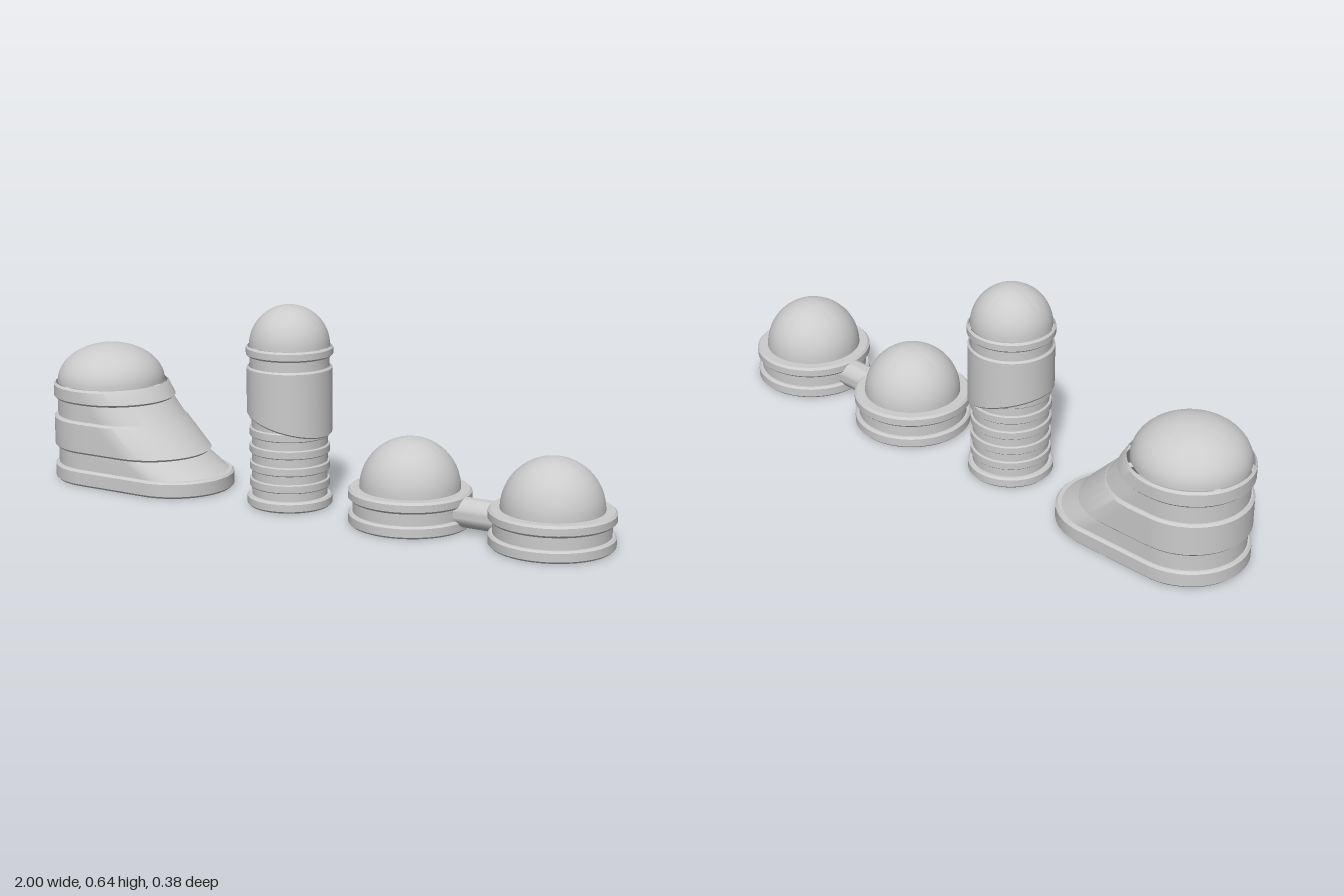
import * as THREE from 'three';
import { toCreasedNormals } from 'three/addons/utils/BufferGeometryUtils.js';

const material = new THREE.MeshStandardMaterial({ color: 0xcccccc, side: THREE.DoubleSide });

function addMesh(parent, name, geometry) {
  const mesh = new THREE.Mesh(toCreasedNormals(geometry, 0.5), material);
  mesh.name = name;
  parent.add(mesh);
  return mesh;
}

// Stacked bands [y0, y1, radius, bevel] turned into a lathe profile
function bandProfile(bands) {
  const points = [];
  for (const [y0, y1, r, b] of bands) {
    points.push([r - b, y0]);
    if (b) points.push([r, y0 + b], [r, y1 - b]);
    points.push([r - b, y1]);
  }
  return points.map(([r, y]) => new THREE.Vector2(r, y));
}

// Quarter-ellipse profile of a dome sitting at height y
function domeProfile(y, r, h) {
  const points = [];
  for (let i = 0; i <= 16; i++) {
    const a = (i / 16) * Math.PI / 2;
    points.push(new THREE.Vector2(i === 16 ? 0 : r * Math.cos(a), y + h * Math.sin(a)));
  }
  return points;
}

const lathe = (points) => new THREE.LatheGeometry(points, 64);

// Skin through horizontal stadium sections { y, r, front }, rounded at both ends
function loftStadiums(sections, backCentre) {
  const half = 32, count = half * 2 + 2;
  const positions = [], index = [];
  for (const { y, r, front } of sections) {
    const frontCentre = Math.max(front - r, backCentre);
    for (let j = 0; j < count; j++) {
      const isFront = j <= half;
      const a = isFront ? -Math.PI / 2 + (j / half) * Math.PI
        : Math.PI / 2 + ((j - half - 1) / half) * Math.PI;
      positions.push((isFront ? frontCentre : backCentre) + r * Math.cos(a), y, -r * Math.sin(a));
    }
  }
  for (let i = 0; i < sections.length - 1; i++) {
    for (let j = 0; j < count; j++) {
      const a = i * count + j, b = i * count + (j + 1) % count;
      index.push(a, b, a + count, b, b + count, a + count);
    }
  }
  const geometry = new THREE.BufferGeometry();
  geometry.setAttribute('position', new THREE.Float32BufferAttribute(positions, 3));
  geometry.setIndex(index);
  geometry.computeVertexNormals();
  return geometry;
}

function createSlopedBuilding() {
  const group = new THREE.Group();
  group.name = 'slopedBuilding';
  const centre = -0.807;
  // y0, y1, radius, front x at bottom and top, bevel
  const bands = [
    [0, 0.055, 0.192, -0.355, -0.355, 0.007],
    [0.055, 0.11, 0.18, -0.375, -0.46, 0],
    [0.11, 0.218, 0.192, -0.445, -0.537, 0.007],
    [0.218, 0.275, 0.18, -0.545, -0.594, 0],
    [0.275, 0.327, 0.192, -0.588, -0.612, 0.007],
  ];
  const sections = [];
  for (const [y0, y1, r, f0, f1, b] of bands) {
    sections.push({ y: y0, r: r - b, front: f0 - b });
    if (b) sections.push({ y: y0 + b, r, front: f0 }, { y: y1 - b, r, front: f1 });
    sections.push({ y: y1, r: r - b, front: f1 - b });
  }
  addMesh(group, 'slopedWalls', loftStadiums(sections, centre));
  const dome = addMesh(group, 'slopedBuildingDome', lathe(domeProfile(0.327, 0.179, 0.125)));
  dome.position.x = centre;
  return group;
}

function createTower() {
  const group = new THREE.Group();
  group.name = 'tower';
  group.position.x = -0.105;

  // Ribbed shaft, running up inside the sleeve
  const shaft = [[0, 0.035, 0.136, 0.006]];
  for (let y = 0.035; y < 0.29; y += 0.055) {
    shaft.push([y, y + 0.027, 0.121, 0], [y + 0.027, y + 0.055, 0.128, 0.003]);
  }
  addMesh(group, 'ribbedShaft', lathe(bandProfile(shaft)));

  // Sleeve whose lower edge is cut at a slant
  const sleeve = lathe(bandProfile([[0, 0.182, 0.136, 0.006]]));
  const pos = sleeve.attributes.position;
  for (let i = 0; i < pos.count; i++) {
    const y = pos.getY(i);
    pos.setY(i, y < 0.09 ? 0.268 + y - 0.27 * pos.getX(i) : 0.27 + y);
  }
  sleeve.computeVertexNormals();
  addMesh(group, 'slantedSleeve', sleeve);

  addMesh(group, 'towerCollar', lathe(bandProfile([
    [0.452, 0.484, 0.126, 0],
    [0.484, 0.516, 0.138, 0.006],
  ])));
  addMesh(group, 'towerDome', lathe(domeProfile(0.516, 0.128, 0.128)));
  return group;
}

function createDomeHut(x, name) {
  const group = new THREE.Group();
  group.name = name;
  group.position.x = x;
  addMesh(group, 'hutBase', lathe(bandProfile([
    [0, 0.038, 0.191, 0.006],
    [0.038, 0.077, 0.178, 0],
    [0.077, 0.113, 0.192, 0.007],
    [0.113, 0.113, 0.157, 0],
  ])));
  addMesh(group, 'hutDome', lathe(domeProfile(0.113, 0.157, 0.158)));
  return group;
}

export function createModel() {
  const model = new THREE.Group();
  model.name = 'domedBuildings';
  model.add(createSlopedBuilding(), createTower());
  model.add(createDomeHut(0.33, 'innerHut'), createDomeHut(0.808, 'outerHut'));

  // Tunnel joining the two huts
  const tunnel = addMesh(model, 'tunnel', new THREE.CylinderGeometry(0.047, 0.047, 0.15, 32, 1, true));
  tunnel.rotation.z = Math.PI / 2;
  tunnel.position.set(0.569, 0.06, 0);
  return model;
}
